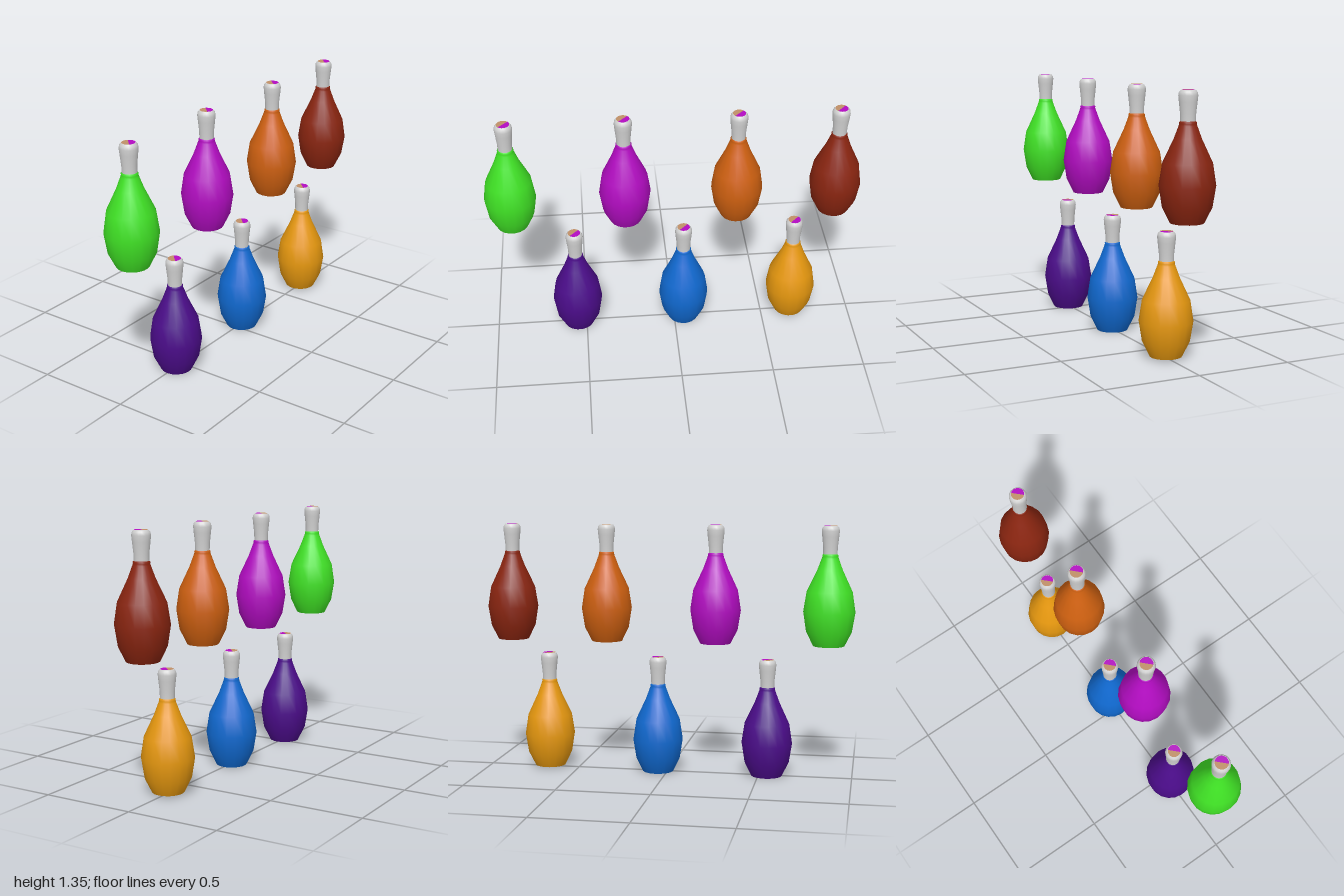
import * as THREE from 'three';

const SEGMENTS = 18;

function material(name, color) {
  const m = new THREE.MeshStandardMaterial({ color });
  m.name = name;
  return m;
}

// Turned part; profile is [radius, height] pairs from bottom to top
function turned(profile) {
  const points = profile.map(([r, y]) => new THREE.Vector2(r, y));
  return new THREE.LatheGeometry(points, SEGMENTS, Math.PI / 2);
}

export function createModel() {
  const group = new THREE.Group();
  group.name = 'bowlingPins';

  const white = material('white', 0xd2d2d2);
  const tan = material('tan', 0xc09068);
  const magenta = material('magenta', 0xb30cc2);
  const pins = [
    // name, material, x, base height
    ['green', material('green', 0x40e325), -0.8635, 0.715],
    ['magenta', magenta, -0.26, 0.715],
    ['orange', material('orange', 0xce6010), 0.335, 0.715],
    ['red', material('red', 0x8a2510), 0.8635, 0.715],
    ['purple', material('purple', 0x4b0c8a), -0.543, 0],
    ['blue', material('blue', 0x1069d0), 0.053, 0],
    ['gold', material('gold', 0xe8990f), 0.663, 0.01],
  ];

  // Belly with a rounded collar at the neck
  const bodyGeo = turned([
    [0.083, 0], [0.12, 0.075], [0.1365, 0.18], [0.12, 0.287],
    [0.067, 0.4], [0.044, 0.462], [0.041, 0.472], [0.042, 0.479], [0.037, 0.484],
  ]);
  const baseGeo = new THREE.CircleGeometry(0.083, SEGMENTS).rotateX(Math.PI / 2);
  // Flared handle with a bevelled rim
  const neckGeo = turned([
    [0.037, 0.478], [0.038, 0.52], [0.044, 0.575], [0.047, 0.605], [0.044, 0.62], [0.036, 0.63],
  ]);
  const rimGeo = new THREE.CircleGeometry(0.036, SEGMENTS).rotateX(-Math.PI / 2).translate(0, 0.63, 0);
  // Two-tone end inlay
  const inlay = (start) => new THREE.CircleGeometry(0.034, 9, start, Math.PI)
    .rotateX(-Math.PI / 2).translate(0, 0.6315, 0);
  const inlayBackGeo = inlay(Math.PI / 4);
  const inlayFrontGeo = inlay(Math.PI * 1.25);

  for (const [name, mat, x, y] of pins) {
    const pin = new THREE.Group();
    pin.name = `${name}Pin`;
    pin.position.set(x, y, 0);
    const add = (part, geo, m) => {
      const mesh = new THREE.Mesh(geo, m);
      mesh.name = part;
      pin.add(mesh);
    };
    add('body', bodyGeo, mat);
    add('base', baseGeo, mat);
    add('neck', neckGeo, white);
    add('rim', rimGeo, white);
    add('inlayBack', inlayBackGeo, tan);
    add('inlayFront', inlayFrontGeo, magenta);
    group.add(pin);
  }
  return group;
}
